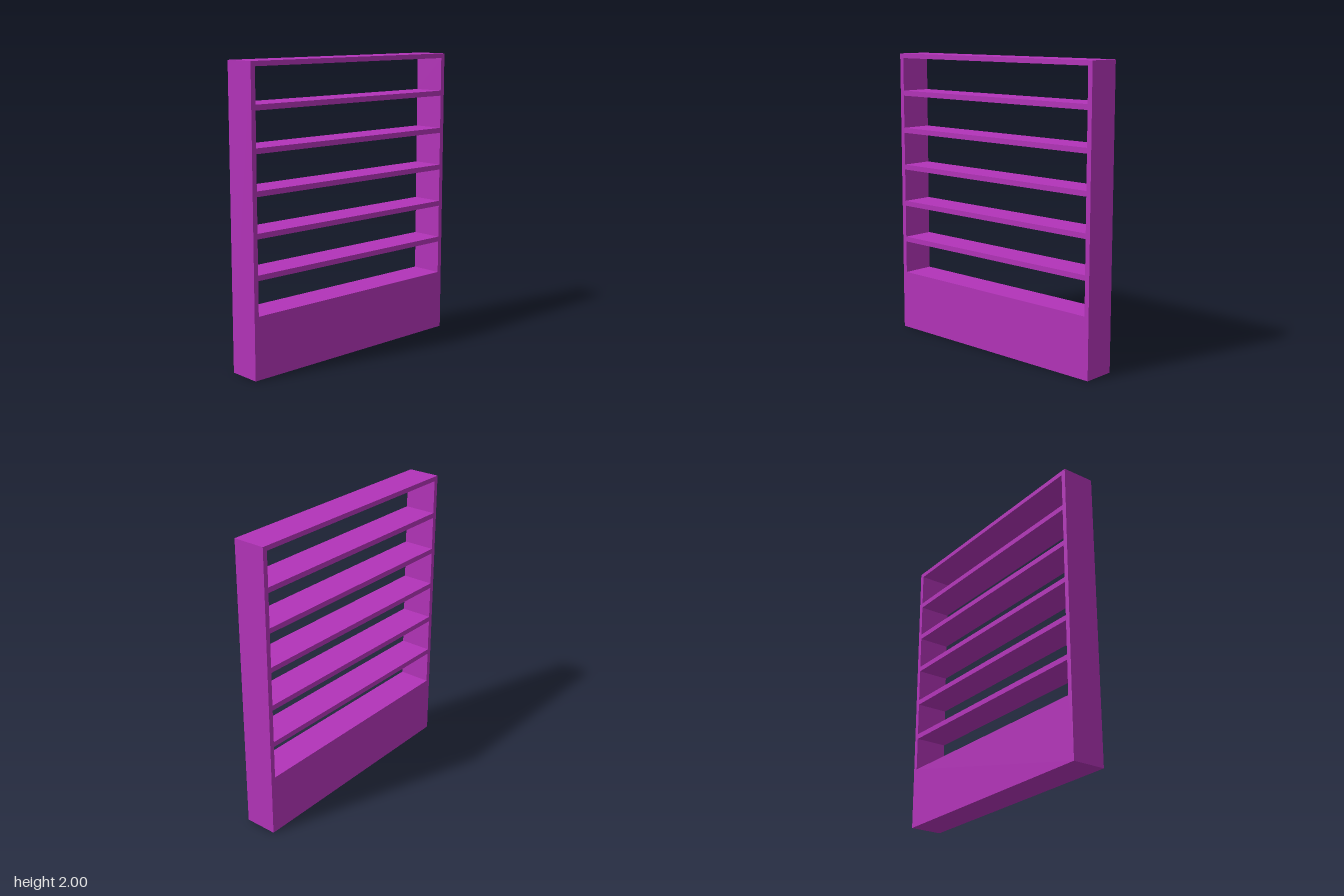
import * as THREE from 'three';

const WIDTH = 1.733, HEIGHT = 2, DEPTH = 0.226;
const BORDER = 0.033;      // thickness of the side walls
const BASE = 0.416;        // height of the solid base
const OPENINGS = 6, OPENING_HEIGHT = 0.229, PITCH = 0.2646;

// Counter-clockwise rectangle corners
function rectangle(x, y0, y1) {
  return [[-x, y0], [x, y0], [x, y1], [-x, y1]].map(([a, b]) => new THREE.Vector2(a, b));
}

export function createModel() {
  const group = new THREE.Group();
  group.name = 'shelfUnit';

  const purple = new THREE.MeshStandardMaterial({ color: 0xb233b8 });
  purple.name = 'purple';

  // Outer slab with one see-through opening above the base and each shelf
  const outline = new THREE.Shape(rectangle(WIDTH / 2, 0, HEIGHT));
  for (let i = 0; i < OPENINGS; i++) {
    const y = BASE + i * PITCH;
    outline.holes.push(new THREE.Path(rectangle(WIDTH / 2 - BORDER, y, y + OPENING_HEIGHT).reverse()));
  }

  const geometry = new THREE.ExtrudeGeometry(outline, { depth: DEPTH, bevelEnabled: false });
  geometry.translate(0, 0, -DEPTH / 2);

  const frame = new THREE.Mesh(geometry, purple);
  frame.name = 'frameWithShelves';
  group.add(frame);
  return group;
}
